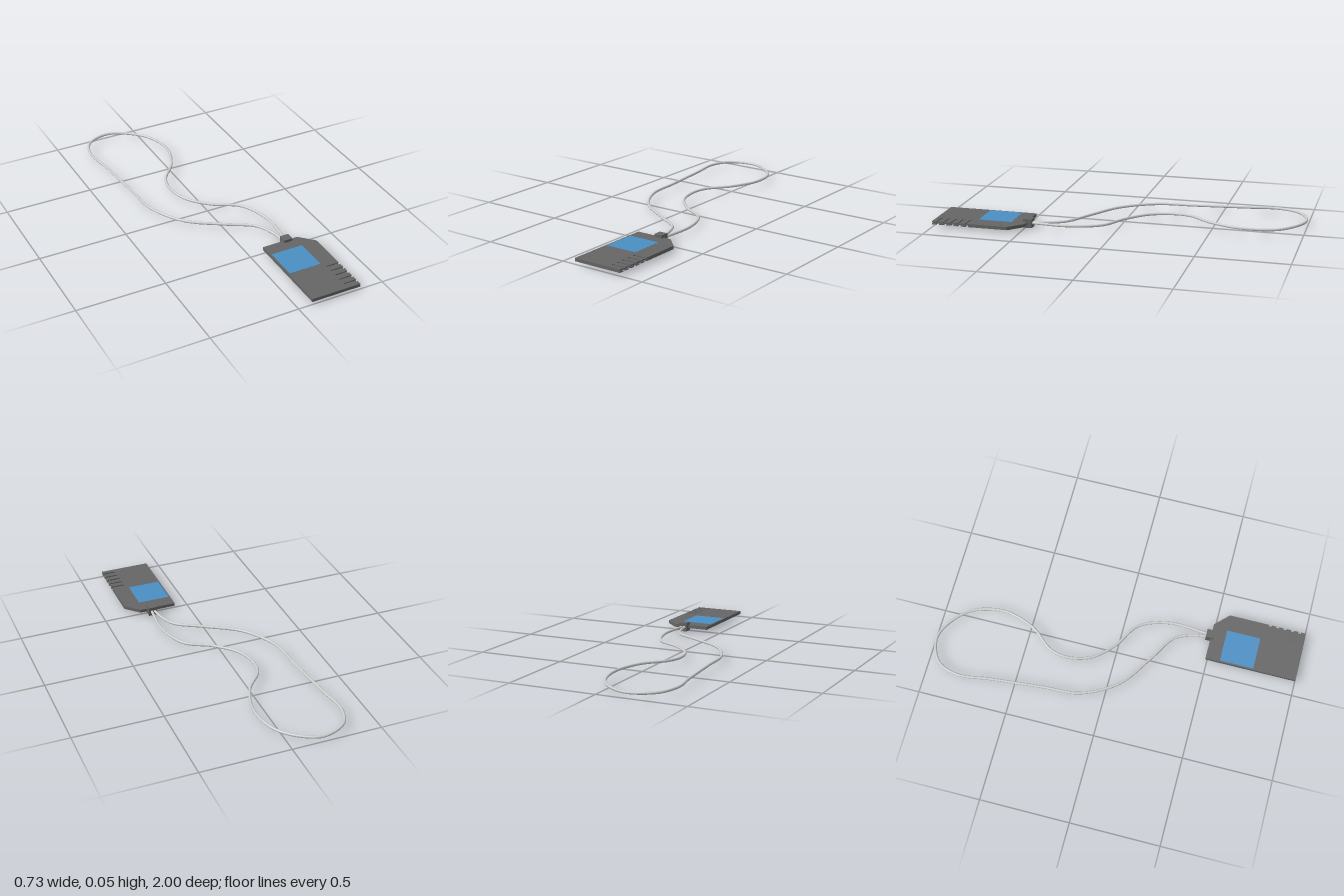
import * as THREE from 'three';

// Slab extruded upward from an outline given in plan (x, z)
function slab(outline, y0, height) {
  const shape = new THREE.Shape(outline.map(([x, z]) => new THREE.Vector2(x, -z)));
  const geometry = new THREE.ExtrudeGeometry(shape, { depth: height, bevelEnabled: false });
  return geometry.rotateX(-Math.PI / 2).translate(0, y0, 0);
}

export function createModel() {
  const group = new THREE.Group();
  const dark = new THREE.MeshStandardMaterial({ color: 0x666666 });
  const grey = new THREE.MeshStandardMaterial({ color: 0xcccccc });
  const blue = new THREE.MeshStandardMaterial({ color: 0x4b8fc4 });
  const add = (name, geometry, material, parent = group) => {
    const mesh = new THREE.Mesh(geometry, material);
    mesh.name = name;
    parent.add(mesh);
    return mesh;
  };

  // Card: a thin core between two faces, with contact slots cut in the left edge
  const card = new THREE.Group();
  card.name = 'card';
  group.add(card);
  const left = 0.365, right = 0.08, back = 0.49, front = 1;
  const start = [[right, front], [right, back], [0.29, back], [left, 0.565]];
  const slotted = [...start];
  for (let i = 0; i < 5; i++) {
    const z = 0.79 + i * 0.042;
    slotted.push([left, z], [left - 0.075, z], [left - 0.075, z + 0.016], [left, z + 0.016]);
  }
  slotted.push([left, front]);
  const coreOutline = [...start, [left, 0.78], [left - 0.006, 0.78], [left - 0.006, front - 0.01], [left - 0.006, front]];
  add('cardTop', slab(slotted, 0.028, 0.006), dark, card);
  add('cardCore', slab(coreOutline, 0.022, 0.006), dark, card);
  add('cardBottom', slab(slotted, 0.016, 0.006), dark, card);

  // Label on the upper face
  add('label', new THREE.BoxGeometry(0.184, 0.001, 0.19), blue).position.set(0.18, 0.0343, 0.665);

  // Clasp joining cord and card
  add('clasp', new THREE.BoxGeometry(0.048, 0.05, 0.048), dark).position.set(0.224, 0.025, 0.486);

  // Cord: one long wavy loop starting and ending in the clasp
  const path = [
    [0.215, 0.025, 0.48], [0.197, 0.025, 0.38], [0.153, 0.025, 0.29], [0.005, 0.026, 0.195],
    [-0.18, 0.028, 0.065], [-0.29, 0.03, -0.13], [-0.309, 0.031, -0.34], [-0.338, 0.033, -0.635],
    [-0.359, 0.033, -0.82], [-0.31, 0.031, -0.94], [-0.165, 0.028, -0.992], [0.015, 0.027, -0.87],
    [0.069, 0.034, -0.68], [0.015, 0.038, -0.49], [-0.085, 0.036, -0.36], [-0.107, 0.033, -0.265],
    [-0.075, 0.03, -0.13], [0.03, 0.027, -0.015], [0.175, 0.026, 0.08], [0.238, 0.026, 0.25],
    [0.229, 0.025, 0.48],
  ].map((p) => new THREE.Vector3(...p));
  const curve = new THREE.CatmullRomCurve3(path, false, 'centripetal');
  add('cord', new THREE.TubeGeometry(curve, 220, 0.0075, 10), grey);

  return group;
}
